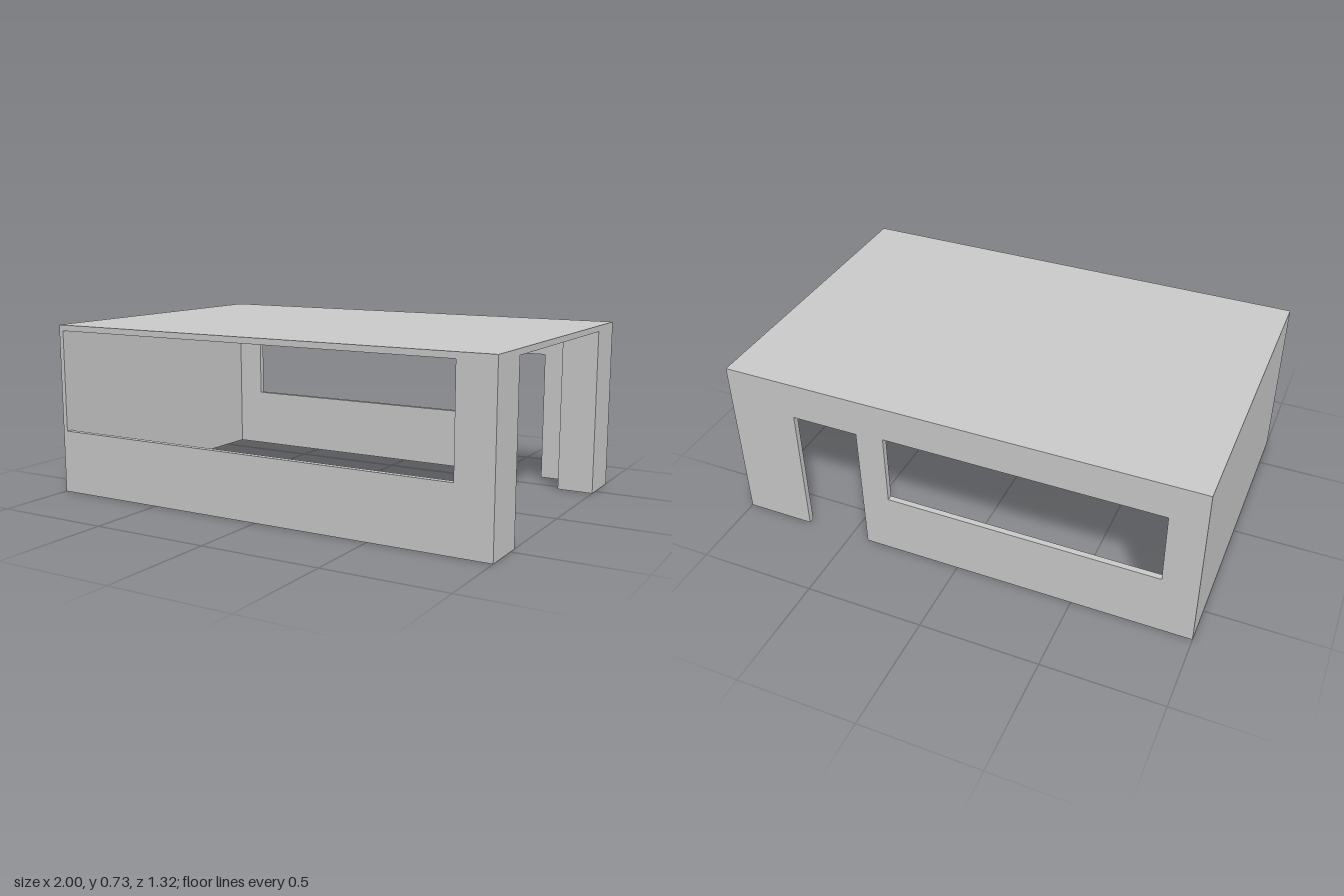
import * as THREE from 'three';

const W = 2, D = 1.32, H = 0.73;   // overall size
const ROOF = 0.025, WALL = 0.025, END = 0.02;
const EAVE = H - ROOF;             // underside of the roof

const material = new THREE.MeshStandardMaterial({ color: 0xcccccc, flatShading: true });

// Box given by its min and max corners
function block(name, x0, x1, y0, y1, z0, z1) {
  const mesh = new THREE.Mesh(new THREE.BoxGeometry(x1 - x0, y1 - y0, z1 - z0), material);
  mesh.position.set((x0 + x1) / 2, (y0 + y1) / 2, (z0 + z1) / 2);
  mesh.name = name;
  return mesh;
}

// Upright wall extruded in z from an outline, with rectangular windows
function wall(name, outline, windows, z0) {
  const shape = new THREE.Shape(outline.map(([x, y]) => new THREE.Vector2(x, y)));
  for (const [x0, x1, y0, y1] of windows) {
    shape.holes.push(new THREE.Path([
      new THREE.Vector2(x0, y0), new THREE.Vector2(x0, y1),
      new THREE.Vector2(x1, y1), new THREE.Vector2(x1, y0),
    ]));
  }
  const mesh = new THREE.Mesh(
    new THREE.ExtrudeGeometry(shape, { depth: WALL, bevelEnabled: false }), material);
  mesh.position.z = z0;
  mesh.name = name;
  return mesh;
}

export function createModel() {
  const group = new THREE.Group();
  group.name = 'pavilion';
  const x = W / 2, z = D / 2, inner = z - WALL;

  group.add(block('roof', -x, x, EAVE, H, -z, z));

  // Front wall: one wide opening reaching up to the roof
  group.add(wall('frontWall',
    [[-x, 0], [x, 0], [x, EAVE], [0.845, EAVE], [0.845, 0.27],
      [-x + END, 0.27], [-x + END, EAVE], [-x, EAVE]], [], inner));

  // Back wall: doorway down to the ground and a long window
  group.add(wall('backWall',
    [[-x, 0], [0.42, 0], [0.42, 0.57], [0.705, 0.57], [0.705, 0], [x, 0], [x, EAVE], [-x, EAVE]],
    [[-0.855, 0.3, 0.27, 0.58]], -z));

  // Closed end wall
  group.add(block('endWall', -x, -x + END, 0, EAVE, -inner, inner));

  // Solid corner pillars beside the open end
  group.add(block('frontPillar', 0.845, x, 0, EAVE, 0.46, inner));
  group.add(block('backPillar', 0.845, x, 0, EAVE, -inner, -0.46));

  return group;
}
